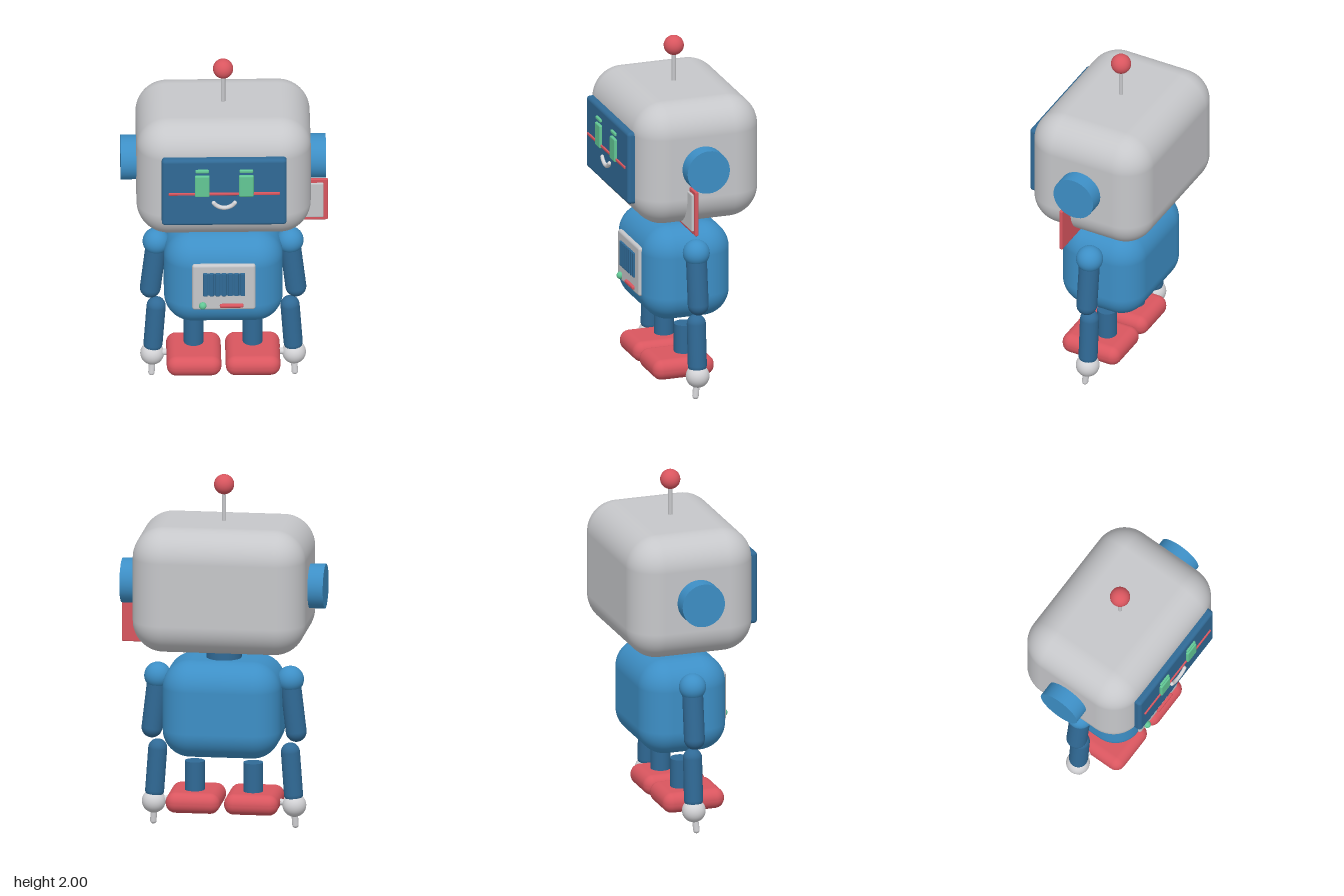
import * as THREE from 'three';
import { RoundedBoxGeometry } from 'three/addons/geometries/RoundedBoxGeometry.js';

const paint = (name, color) => {
  const m = new THREE.MeshStandardMaterial({ color });
  m.name = name;
  return m;
};

export function createModel() {
  const grey = paint('shell grey', 0xc6c7ca);
  const white = paint('light metal', 0xd4d4d7);
  const blue = paint('bright blue', 0x3d8fc6);
  const navy = paint('dark blue', 0x306a96);
  const red = paint('red', 0xd9565f);
  const green = paint('green', 0x62c795);

  const robot = new THREE.Group();
  robot.name = 'robot';
  const body = new THREE.Group();
  body.name = 'robotBody';
  body.position.set(-0.01, 0, -0.022);
  robot.add(body);

  const add = (name, geo, mat, x, y, z, parent = body) => {
    const m = new THREE.Mesh(geo, mat);
    m.name = name;
    m.position.set(x, y, z);
    parent.add(m);
    return m;
  };
  const block = (w, h, d, r, seg = 4) => new RoundedBoxGeometry(w, h, d, seg, r);
  const ball = (r) => new THREE.SphereGeometry(r, 32, 20);
  const rod = (r, h) => new THREE.CylinderGeometry(r, r, h, 32);
  // Round-ended limb between two points
  const limb = (name, r, a, b, mat) => {
    const from = new THREE.Vector3(...a), to = new THREE.Vector3(...b);
    const dir = to.clone().sub(from);
    const mid = from.clone().add(to).multiplyScalar(0.5);
    const m = add(name, new THREE.CapsuleGeometry(r, dir.length(), 8, 24), mat, mid.x, mid.y, mid.z);
    m.quaternion.setFromUnitVectors(new THREE.Vector3(0, 1, 0), dir.normalize());
    return m;
  };

  // Head, antenna, neck and torso
  add('head', block(0.963, 0.705, 0.725, 0.175, 10), grey, 0, 1.387, -0.006);
  add('antennaRod', rod(0.012, 0.24), grey, 0, 1.83, 0);
  add('antennaBall', ball(0.056), red, 0, 1.945, 0);
  add('neck', rod(0.098, 0.2), navy, 0, 1.0, 0);
  add('torso', block(0.656, 0.546, 0.502, 0.155, 10), blue, 0, 0.693, 0);

  // Face
  const face = new THREE.Group();
  face.name = 'face';
  face.position.set(0, 0, 0.022);
  body.add(face);
  add('screen', block(0.69, 0.418, 0.06, 0.02), navy, 0, 1.376, 0.34, face);
  add('faceLine', block(0.615, 0.015, 0.015, 0.004, 2), red, 0, 1.373, 0.371, face);
  for (const s of [-1, 1]) {
    add('eye', block(0.082, 0.134, 0.03, 0.008, 2), green, s * 0.122, 1.424, 0.37, face);
    add('brow', block(0.076, 0.02, 0.024, 0.007, 2), green, s * 0.122, 1.517, 0.37, face);
  }
  const smileArc = Math.PI * 0.62, smileR = 0.07;
  const smile = add('smile', new THREE.TorusGeometry(smileR, 0.012, 12, 24, smileArc), white, 0, 1.357, 0.376, face);
  smile.rotation.z = -Math.PI / 2 - smileArc / 2;
  for (const a of [0, smileArc])
    add('smileEnd', ball(0.012), white, smileR * Math.cos(a), smileR * Math.sin(a), 0, smile);

  // Chest panel with grille, knob and slot
  const chest = new THREE.Group();
  chest.name = 'chestPanel';
  chest.position.set(0, 0, 0.022);
  body.add(chest);
  add('chestPlate', block(0.35, 0.286, 0.04, 0.015), grey, 0, 0.701, 0.226, chest);
  add('grilleBack', new THREE.BoxGeometry(0.225, 0.138, 0.006), navy, 0.001, 0.724, 0.247, chest);
  for (let i = 0; i < 7; i++)
    add('grilleBar', block(0.024, 0.143, 0.016, 0.004, 2), navy, 0.001 + (i - 3) * 0.0345, 0.724, 0.25, chest);
  add('chestKnob', ball(0.021), green, -0.117, 0.59, 0.25, chest);
  add('chestSlot', block(0.132, 0.022, 0.022, 0.009, 3), red, 0.043, 0.589, 0.25, chest);

  // Paired parts
  for (const s of [-1, 1]) {
    const side = s > 0 ? 'left' : 'right';
    add(side + 'Ear', rod(0.124, 0.16), blue, s * 0.487, 1.385, -0.003).rotation.z = Math.PI / 2;
    add(side + 'Shoulder', ball(0.075), blue, s * 0.37, 0.85, 0);
    limb(side + 'UpperArm', 0.058, [s * 0.372, 0.81, 0], [s * 0.402, 0.555, 0], navy);
    limb(side + 'Forearm', 0.053, [s * 0.37, 0.437, 0], [s * 0.387, 0.2, 0], navy);
    add(side + 'Hand', ball(0.066), white, s * 0.392, 0.137, 0);
    limb(side + 'Finger', 0.018, [s * 0.392, 0.1, 0.006], [s * 0.396, 0.022, 0.014], white);
    limb(side + 'Thumb', 0.018, [s * 0.36, 0.143, 0.006], [s * 0.312, 0.15, 0.012], white);
    add(side + 'Leg', rod(0.055, 0.21), navy, s * 0.163, 0.268, 0);
    add(side + 'Foot', block(0.302, 0.116, 0.358, 0.055, 6), red, s * 0.163, 0.151, 0.041);
  }

  // Framed side panel
  add('sidePanelFrame', block(0.348, 0.258, 0.02, 0.006, 2), red, 0.404, 1.151, 0.07);
  add('sidePanelFace', block(0.298, 0.214, 0.016, 0.005, 2), grey, 0.404, 1.151, 0.084);

  return robot;
}
